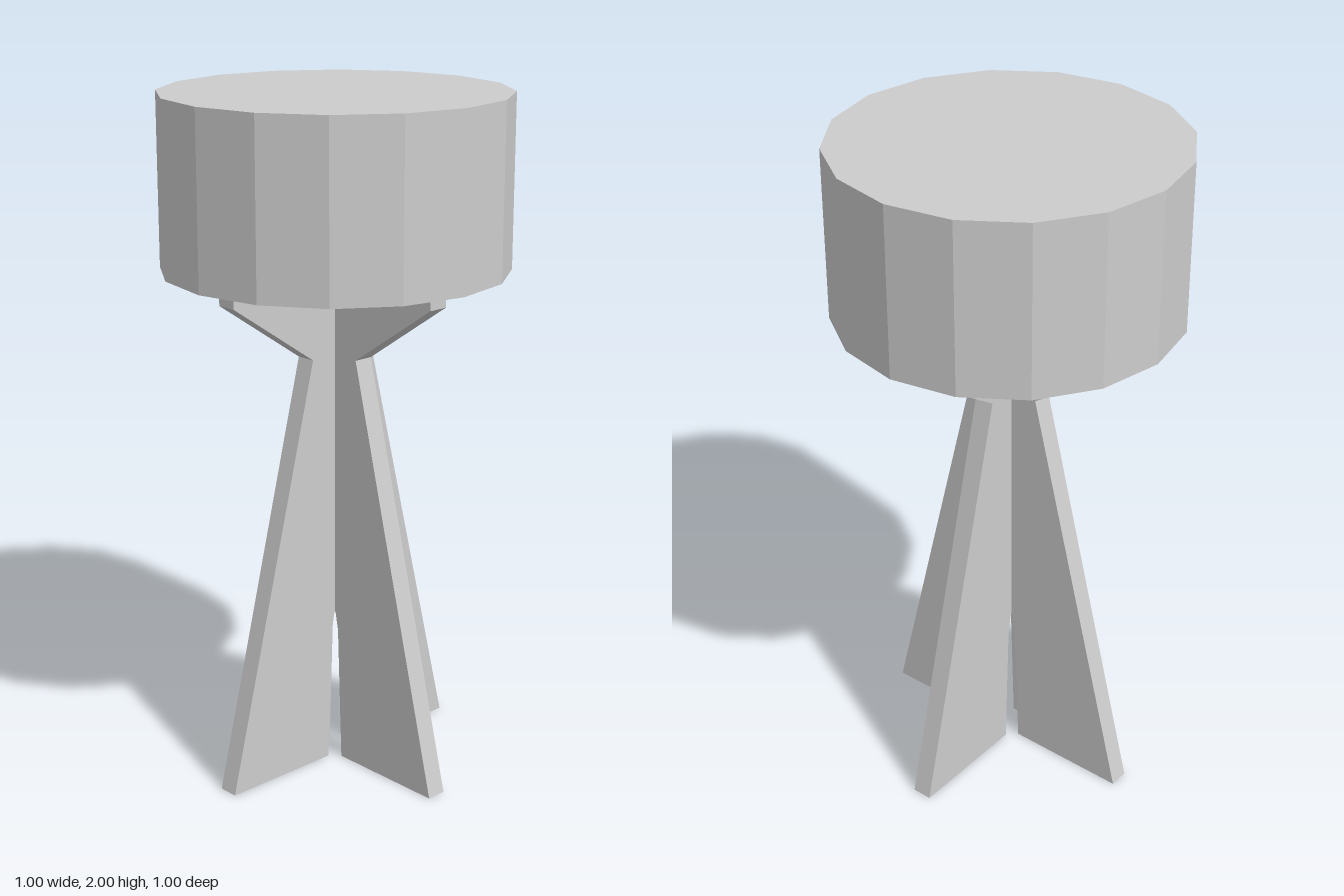
import * as THREE from 'three';

// Facet a geometry so every side reads flat
function faceted(geometry) {
  const flat = geometry.index ? geometry.toNonIndexed() : geometry;
  flat.computeVertexNormals();
  return flat;
}

export function createModel() {
  const group = new THREE.Group();
  const grey = new THREE.MeshStandardMaterial({ color: 0xcccccc });
  grey.name = 'lightGrey';

  // Sixteen-sided drum on top
  const drum = new THREE.Mesh(faceted(new THREE.CylinderGeometry(0.5, 0.5, 0.5, 16)), grey);
  drum.name = 'drum';
  drum.position.y = 1.75;
  group.add(drum);

  // Right half of the support plate: slot, foot, waist and flared bracket
  const half = [
    [0, 0.5], [0.02, 0.49], [0.033, 0.46], [0.043, 0.41], [0.058, 0],
    [0.43, 0], [0.115, 1.255], [0.405, 1.45], [0.405, 1.5],
  ];
  const mirrored = half.slice(1).reverse().map(([x, y]) => [-x, y]);
  const outline = new THREE.Shape([...half, ...mirrored].map(([x, y]) => new THREE.Vector2(x, y)));
  const thickness = 0.06;
  const plate = new THREE.ExtrudeGeometry(outline, { depth: thickness, bevelEnabled: false });
  plate.translate(0, 0, -thickness / 2);
  const plateGeometry = faceted(plate);

  // Two identical plates crossing at right angles
  ['supportPlateAcross', 'supportPlateAlong'].forEach((name, i) => {
    const mesh = new THREE.Mesh(plateGeometry, grey);
    mesh.name = name;
    mesh.rotation.y = (i * Math.PI) / 2;
    group.add(mesh);
  });

  return group;
}
